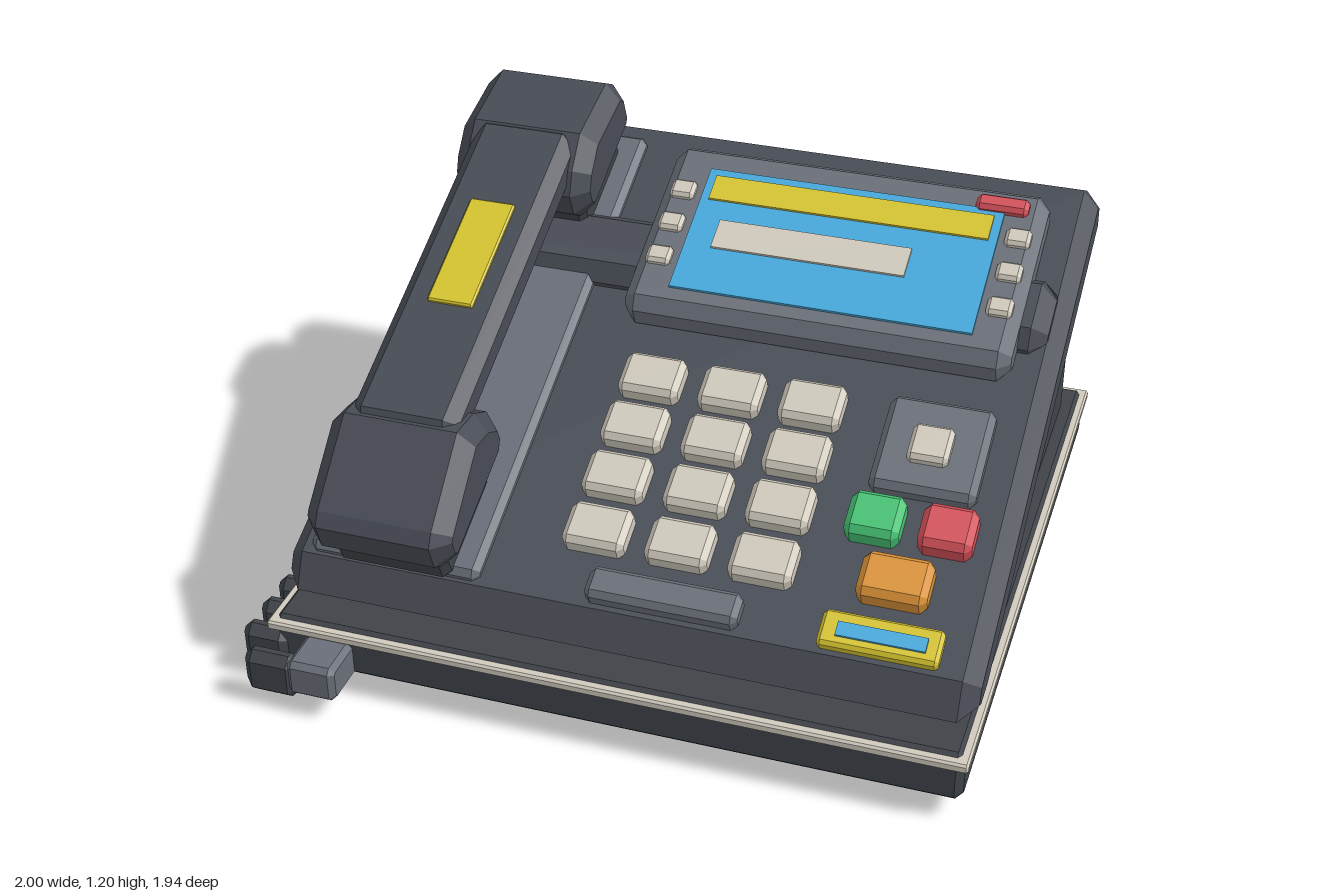
import * as THREE from 'three';

const mat = (name, color) => {
  const m = new THREE.MeshStandardMaterial({ color });
  m.name = name;
  return m;
};

const TILT = 0.4;   // slope of the console
const MID = 0.038;  // middle of the console in x

export function createModel() {
  const body = mat('charcoal', 0x474b54);
  const dark = mat('dark charcoal', 0x3f4349);
  const grey = mat('mid grey', 0x696e78);
  const cream = mat('cream', 0xd0cabd);
  const blue = mat('screen blue', 0x45a9dc);
  const yellow = mat('yellow', 0xd6c42f);
  const green = mat('green', 0x45c274);
  const red = mat('red', 0xd4505a);
  const orange = mat('orange', 0xdb9236);

  const model = new THREE.Group();
  model.name = 'deskPhone';

  // Side profile of [z, y] points swept along x, with chamfered ends
  function prism(parent, name, material, profile, x, width, c) {
    const shape = new THREE.Shape(profile.map(([z, y]) => new THREE.Vector2(z, y)));
    const geo = new THREE.ExtrudeGeometry(shape, {
      depth: width - 2 * c, bevelEnabled: true, bevelSegments: 1,
      bevelThickness: c, bevelSize: c, bevelOffset: -c,
    });
    geo.translate(0, 0, c - width / 2);
    geo.rotateY(-Math.PI / 2);
    geo.translate(x, 0, 0);
    const mesh = new THREE.Mesh(geo, material);
    mesh.name = name;
    parent.add(mesh);
  }

  // Box given by its limits, every edge chamfered by c
  function block(parent, name, material, [x0, x1], [y0, y1], [z0, z1], c) {
    const profile = [
      [z0 + c, y0], [z1 - c, y0], [z1, y0 + c], [z1, y1 - c],
      [z1 - c, y1], [z0 + c, y1], [z0, y1 - c], [z0, y0 + c],
    ];
    prism(parent, name, material, profile, (x0 + x1) / 2, x1 - x0, c);
  }

  // Thin flat plate
  function plate(parent, name, material, [x0, x1], y, [z0, z1]) {
    const mesh = new THREE.Mesh(new THREE.BoxGeometry(x1 - x0, 0.008, z1 - z0), material);
    mesh.position.set((x0 + x1) / 2, y + 0.004, (z0 + z1) / 2);
    mesh.name = name;
    parent.add(mesh);
  }

  // Base, trim and feet
  block(model, 'base', dark, [-0.907, 0.985], [0.055, 0.208], [-0.96, 0.84], 0.02);
  block(model, 'baseTrim', cream, [-0.918, 0.998], [0.17, 0.198], [-0.972, 0.855], 0.006);
  for (const x of [-0.712, 0.788]) for (const z of [0.65, -0.765]) {
    block(model, 'foot', dark, [x - 0.102, x + 0.102], [0, 0.065], [z - 0.102, z + 0.102], 0.015);
  }

  // Rear stand: its upper edge follows the slope of the console
  const s = 0.03;
  const stand = new THREE.Shape([
    [-0.895, 0.215 + s], [-0.895, 0.875 - s], [-0.895 + s, 0.875], [0.895 - s, 0.875],
    [0.895, 0.875 - s], [0.895, 0.215 + s], [0.895 - s, 0.215], [-0.895 + s, 0.215],
  ].map(([x, y]) => new THREE.Vector2(x, y)));
  const standGeo = new THREE.ExtrudeGeometry(stand, { depth: 1, bevelEnabled: false });
  standGeo.rotateX(-Math.PI / 2);
  const p = standGeo.attributes.position;
  for (let i = 0; i < p.count; i++) {
    p.setY(i, p.getY(i) > 0.5 ? 0.47 - 0.423 * p.getZ(i) : 0.2);
  }
  standGeo.computeVertexNormals();
  const standMesh = new THREE.Mesh(standGeo, dark);
  standMesh.position.x = MID;
  standMesh.name = 'rearStand';
  model.add(standMesh);

  // Sloping console; local y = 0 is its upper face
  const top = new THREE.Group();
  top.name = 'console';
  top.position.y = 0.64;
  top.rotation.x = TILT;
  model.add(top);
  prism(top, 'consoleBody', body, [
    [0.7, -0.175], [0.795, -0.14], [0.85, -0.07], [0.77, 0],
    [-0.86, 0], [-0.91, -0.06], [-0.878, -0.175],
  ], MID, 1.9, 0.045);

  // Cradle plate, cross bar and rests
  block(top, 'cradlePlate', grey, [-0.845, -0.36], [-0.03, 0.03], [-0.81, 0.76], 0.018);
  block(top, 'crossBar', body, [-0.87, 0.945], [-0.05, 0.06], [-0.5, -0.255], 0.045);
  block(top, 'mouthRest', dark, [-0.757, -0.43], [0, 0.1], [0.45, 0.775], 0.02);
  block(top, 'earRest', dark, [-0.757, -0.43], [0, 0.12], [-0.75, -0.43], 0.02);

  // Handset
  const handset = new THREE.Group();
  handset.name = 'handset';
  top.add(handset);
  block(handset, 'grip', body, [-0.757, -0.455], [0.2, 0.325], [-0.56, 0.52], 0.035);
  prism(handset, 'mouthpiece', body, [
    [0.4, 0.07], [0.77, 0.07], [0.805, 0.12], [0.8, 0.2], [0.765, 0.228],
    [0.51, 0.318], [0.41, 0.265], [0.35, 0.19], [0.35, 0.12],
  ], -0.602, 0.41, 0.045);
  prism(handset, 'earpiece', body, [
    [-0.775, 0.09], [-0.43, 0.085], [-0.39, 0.14], [-0.39, 0.215], [-0.44, 0.27],
    [-0.54, 0.32], [-0.77, 0.285], [-0.815, 0.233], [-0.815, 0.125],
  ], -0.602, 0.41, 0.045);
  block(handset, 'handsetLabel', yellow, [-0.668, -0.535], [0.31, 0.336], [-0.245, 0.12], 0.005);

  // Display
  block(top, 'displayHousing', grey, [-0.235, 0.87], [-0.03, 0.095], [-0.76, -0.145], 0.035);
  plate(top, 'screen', blue, [-0.11, 0.755], 0.095, [-0.66, -0.22]);
  plate(top, 'screenHeader', yellow, [-0.085, 0.73], 0.102, [-0.632, -0.545]);
  plate(top, 'screenMessage', cream, [-0.03, 0.53], 0.102, [-0.473, -0.373]);
  block(top, 'messageLight', red, [0.67, 0.82], [0.08, 0.12], [-0.705, -0.65], 0.012);
  for (const x of [-0.168, 0.81]) for (const z of [-0.57, -0.447, -0.324]) {
    block(top, 'softKey', cream, [x - 0.036, x + 0.036], [0.08, 0.115], [z - 0.031, z + 0.031], 0.01);
  }

  // Keypad
  for (const x of [-0.087, 0.142, 0.37]) for (const z of [0.042, 0.208, 0.375, 0.545]) {
    block(top, 'key', cream, [x - 0.086, x + 0.086], [-0.02, 0.052], [z - 0.066, z + 0.066], 0.016);
  }
  block(top, 'keypadBar', grey, [-0.065, 0.35], [-0.02, 0.045], [0.66, 0.755], 0.016);

  // Coloured keys and indicator
  block(top, 'buttonPanel', grey, [0.577, 0.866], [-0.02, 0.045], [-0.03, 0.27], 0.018);
  block(top, 'panelButton', cream, [0.663, 0.775], [0.02, 0.075], [0.07, 0.185], 0.012);
  block(top, 'greenKey', green, [0.55, 0.697], [-0.02, 0.06], [0.295, 0.43], 0.018);
  block(top, 'redKey', red, [0.745, 0.89], [-0.02, 0.06], [0.295, 0.43], 0.018);
  block(top, 'orangeKey', orange, [0.625, 0.812], [-0.02, 0.06], [0.47, 0.605], 0.018);
  block(top, 'indicator', yellow, [0.56, 0.877], [-0.02, 0.03], [0.65, 0.755], 0.01);
  plate(top, 'indicatorWindow', blue, [0.605, 0.84], 0.029, [0.687, 0.728]);

  // Cord: a row of coils along the base, ending in a plug
  for (let i = 0; i < 6; i++) {
    const z = 0.3 + i * 0.105;
    block(model, 'cordCoil', dark, [-1, -0.86], [0.025, 0.165], [z - 0.034, z + 0.034], 0.026);
  }
  block(model, 'cordEnd', dark, [-0.945, -0.79], [0.03, 0.165], [0.895, 0.962], 0.025);
  block(model, 'cordPlug', grey, [-0.812, -0.675], [0.06, 0.168], [0.82, 0.968], 0.015);

  return model;
}
